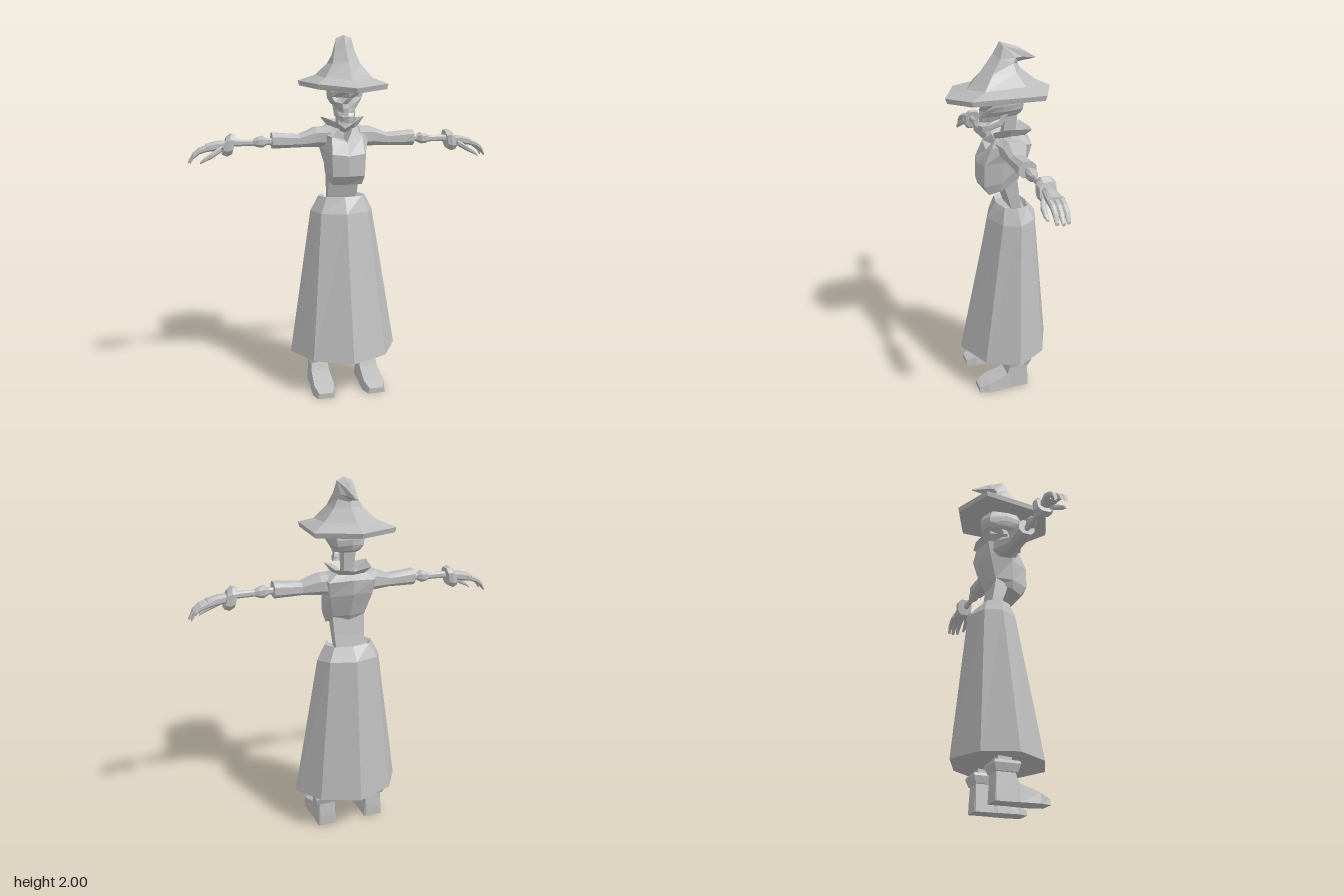
import * as THREE from 'three';

const grey = new THREE.MeshStandardMaterial({ color: 0xbdbdbd, flatShading: true });
grey.name = 'plain grey';

// Closed solid through rings of equal point count, wound outward by its signed volume
function loft(name, rings) {
  const tris = [];
  const n = rings[0].length;
  const centre = (r) => [0, 1, 2].map((k) => r.reduce((s, p) => s + p[k], 0) / n);
  const first = rings[0], last = rings[rings.length - 1];
  const c0 = centre(first), c1 = centre(last);
  for (let j = 0; j < n; j++) {
    const k = (j + 1) % n;
    for (let i = 0; i < rings.length - 1; i++) {
      const a = rings[i], b = rings[i + 1];
      tris.push([a[j], a[k], b[k]], [a[j], b[k], b[j]]);
    }
    tris.push([c0, first[k], first[j]], [c1, last[j], last[k]]);
  }
  const volume = tris.reduce((s, [a, b, c]) => s
    + a[0] * (b[1] * c[2] - b[2] * c[1])
    + a[1] * (b[2] * c[0] - b[0] * c[2])
    + a[2] * (b[0] * c[1] - b[1] * c[0]), 0);
  const flat = tris.flatMap(([a, b, c]) => (volume < 0 ? [a, c, b] : [a, b, c])).flat();
  const geo = new THREE.BufferGeometry();
  geo.setAttribute('position', new THREE.Float32BufferAttribute(flat, 3));
  geo.computeVertexNormals();
  const mesh = new THREE.Mesh(geo, grey);
  mesh.name = name;
  return mesh;
}

// Full ring from its left half, listed front to back; the ends lie on x = 0
const mirror = (half) => [...half, ...half.slice(1, -1).reverse().map(([x, y, z]) => [-x, y, z])];
const symmetric = (name, halves) => loft(name, halves.map(mirror));

// Ring of bevelled corners across a limb running along x; lean shifts the top along x
function section(s, x, y, z, hy, hz, lean = 0) {
  return [[-1, -0.5], [-0.5, -1], [0.5, -1], [1, -0.5], [1, 0.5], [0.5, 1], [-0.5, 1], [-1, 0.5]]
    .map(([u, v]) => [s * (x + lean * u), y + u * hy, z + v * hz]);
}
// Rectangular ring lying level
const level = (x0, x1, z0, z1, yBack, yFront = yBack) =>
  [[x0, yBack, z0], [x1, yBack, z0], [x1, yFront, z1], [x0, yFront, z1]];

function arm(s) {
  const g = new THREE.Group();
  g.name = s > 0 ? 'leftArm' : 'rightArm';
  const limb = (name, list) => g.add(loft(name, list.map((a) => section(s, ...a))));
  limb('sleeve', [[0.08, 1.455, -0.04, 0.055, 0.085], [0.16, 1.455, -0.035, 0.052, 0.065],
    [0.25, 1.437, -0.02, 0.034, 0.044], [0.4, 1.442, -0.018, 0.042, 0.046]]);
  limb('forearm', [[0.38, 1.435, -0.018, 0.018, 0.014], [0.425, 1.437, -0.018, 0.018, 0.014],
    [0.45, 1.437, -0.018, 0.031, 0.028], [0.475, 1.435, -0.018, 0.027, 0.026],
    [0.5, 1.433, -0.018, 0.017, 0.013], [0.64, 1.433, -0.018, 0.018, 0.016]]);
  limb('wristGuard', [[0.605, 1.425, -0.028, 0.05, 0.045, -0.01], [0.63, 1.422, -0.028, 0.06, 0.05, -0.012],
    [0.655, 1.418, -0.028, 0.045, 0.042, -0.012]]);
  limb('palm', [[0.63, 1.425, -0.025, 0.02, 0.024], [0.69, 1.42, -0.025, 0.025, 0.034],
    [0.75, 1.41, -0.028, 0.02, 0.042]]);
  // Fingers curling down
  [-0.057, -0.029, -0.001].forEach((z, i) => {
    const l = i === 1 ? 0.01 : 0;
    limb('finger', [[0.73, 1.413, z, 0.016, 0.014], [0.785, 1.395, z, 0.014, 0.014],
      [0.82, 1.368, z, 0.013, 0.013], [0.837 + l, 1.335, z, 0.007, 0.009]]);
  });
  limb('thumb', [[0.67, 1.405, 0, 0.016, 0.014], [0.72, 1.375, 0.022, 0.015, 0.014],
    [0.765, 1.35, 0.025, 0.01, 0.011], [0.785, 1.335, 0.022, 0.005, 0.006]]);
  return g;
}

function boot(s) {
  const g = new THREE.Group();
  g.name = s > 0 ? 'leftBoot' : 'rightBoot';
  const side = (ring) => ring.map(([x, y, z]) => [s * x, y, z]);
  g.add(loft('shin', [level(0.1, 0.19, -0.1, -0.025, 0.15), level(0.1, 0.19, -0.1, -0.025, 0.4)].map(side)));
  g.add(loft('bootCuff', [level(0.085, 0.205, -0.115, 0, 0.145),
    level(0.075, 0.217, -0.13, 0.012, 0.185), level(0.08, 0.215, -0.125, 0.008, 0.2)].map(side)));
  // Foot, lofted from heel to toe
  const slice = (z, x0, x1, top) => [[x0, 0, z], [x1, 0, z], [x1 - 0.008, top, z], [x0 + 0.008, top, z]];
  g.add(loft('foot', [slice(-0.118, 0.095, 0.195, 0.06), slice(-0.11, 0.09, 0.2, 0.155),
    slice(-0.012, 0.09, 0.2, 0.155), slice(0.01, 0.085, 0.205, 0.095), slice(0.12, 0.08, 0.212, 0.055),
    slice(0.178, 0.1, 0.195, 0.03)].map(side)));
  return g;
}

export function createModel() {
  const model = new THREE.Group();
  model.name = 'hattedSkeleton';

  model.add(symmetric('skirt', [
    [[0, 0.215, 0.24], [0.21, 0.215, 0.145], [0.31, 0.22, -0.03], [0.21, 0.23, -0.2], [0, 0.235, -0.29]],
    [[0, 1.03, 0.07], [0.135, 1.03, 0.02], [0.18, 1.035, -0.07], [0.135, 1.045, -0.16], [0, 1.05, -0.21]],
    [[0, 1.12, 0.02], [0.1, 1.12, 0], [0.135, 1.12, -0.065], [0.1, 1.12, -0.13], [0, 1.12, -0.15]],
    [[0, 1.1, 0.005], [0.085, 1.1, -0.01], [0.115, 1.1, -0.065], [0.085, 1.1, -0.12], [0, 1.1, -0.135]],
  ]));
  model.add(loft('waist', [level(-0.08, 0.08, -0.105, -0.05, 1.09), level(-0.085, 0.085, -0.09, -0.025, 1.17),
    level(-0.09, 0.09, -0.075, 0.01, 1.28)]));

  // Chest with an open neckline
  model.add(symmetric('chest', [
    [[0, 1.2, 0.085], [0.08, 1.2, 0.08], [0.1, 1.22, 0.02], [0.07, 1.25, -0.06], [0, 1.25, -0.08]],
    [[0, 1.25, 0.125], [0.09, 1.25, 0.11], [0.115, 1.27, 0.02], [0.09, 1.28, -0.08], [0, 1.28, -0.1]],
    [[0, 1.36, 0.125], [0.09, 1.37, 0.11], [0.125, 1.39, 0.01], [0.12, 1.4, -0.12], [0, 1.41, -0.155]],
    [[0, 1.43, 0.075], [0.085, 1.46, 0.07], [0.155, 1.49, -0.02], [0.13, 1.48, -0.14], [0, 1.49, -0.165]],
    [[0, 1.44, 0], [0.04, 1.5, 0.03], [0.08, 1.525, -0.04], [0.07, 1.525, -0.11], [0, 1.52, -0.13]],
  ]));
  model.add(symmetric('collar', [
    [[0, 1.48, 0.01], [0.05, 1.495, 0.01], [0.08, 1.505, -0.04], [0.065, 1.505, -0.11], [0, 1.505, -0.13]],
    [[0, 1.5, 0.03], [0.05, 1.535, 0.045], [0.12, 1.565, -0.02], [0.1, 1.55, -0.15], [0, 1.54, -0.172]],
    [[0, 1.485, 0], [0.035, 1.51, 0.005], [0.06, 1.52, -0.04], [0.05, 1.52, -0.1], [0, 1.52, -0.115]],
  ]));
  model.add(loft('neck', [level(-0.03, 0.03, -0.08, -0.01, 1.42), level(-0.028, 0.028, -0.085, -0.02, 1.54),
    level(-0.035, 0.035, -0.095, -0.02, 1.66)]));

  // Skull with sunken eyes and nose
  model.add(symmetric('skull', [
    [[0, 1.59, 0.112], [0.028, 1.59, 0.1], [0.042, 1.595, 0.06], [0.045, 1.61, 0], [0.04, 1.62, -0.08], [0, 1.625, -0.1]],
    [[0, 1.615, 0.108], [0.03, 1.615, 0.1], [0.05, 1.62, 0.07], [0.055, 1.625, 0], [0.055, 1.635, -0.1], [0, 1.64, -0.125]],
    [[0, 1.635, 0.075], [0.035, 1.64, 0.1], [0.07, 1.65, 0.07], [0.078, 1.65, 0], [0.07, 1.66, -0.11], [0, 1.67, -0.138]],
    [[0, 1.67, 0.105], [0.04, 1.67, 0.055], [0.084, 1.675, 0.065], [0.088, 1.68, 0], [0.075, 1.69, -0.11], [0, 1.7, -0.14]],
    [[0, 1.695, 0.115], [0.045, 1.7, 0.105], [0.088, 1.7, 0.065], [0.092, 1.71, 0], [0.075, 1.72, -0.1], [0, 1.725, -0.13]],
    [[0, 1.76, 0.1], [0.045, 1.76, 0.09], [0.08, 1.76, 0.05], [0.085, 1.76, 0], [0.065, 1.76, -0.09], [0, 1.76, -0.11]],
  ]));
  // Jaw: a front bar and two side bars
  model.add(symmetric('chin', [
    [[0, 1.535, 0.115], [0.03, 1.54, 0.1], [0.04, 1.545, 0.06], [0, 1.545, 0.06]],
    [[0, 1.57, 0.118], [0.032, 1.57, 0.105], [0.045, 1.575, 0.06], [0, 1.565, 0.065]],
  ]));
  for (const s of [1, -1]) {
    model.add(loft('jawSide', [section(s, 0.042, 1.562, 0.065, 0.014, 0.012),
      section(s, 0.056, 1.585, 0.01, 0.014, 0.012), section(s, 0.06, 1.64, -0.015, 0.012, 0.015)]));
  }

  // Wide brim, crown and bent tip in one run
  model.add(symmetric('hat', [
    [[0, 1.735, 0.1], [0.08, 1.735, 0.07], [0.09, 1.735, -0.07], [0, 1.735, -0.11]],
    [[0, 1.698, 0.28], [0.185, 1.718, 0.195], [0.215, 1.73, -0.18], [0, 1.73, -0.275]],
    [[0, 1.725, 0.29], [0.19, 1.745, 0.2], [0.222, 1.757, -0.185], [0, 1.757, -0.285]],
    [[0, 1.765, 0.175], [0.13, 1.775, 0.115], [0.14, 1.79, -0.1], [0, 1.795, -0.2]],
    [[0, 1.855, 0.1], [0.075, 1.85, 0.055], [0.08, 1.85, -0.07], [0, 1.86, -0.115]],
    [[0, 1.94, 0.035], [0.055, 1.92, 0.01], [0.055, 1.895, -0.06], [0, 1.885, -0.1]],
    [[0, 2, 0], [0.042, 1.983, -0.01], [0.045, 1.92, -0.075], [0, 1.893, -0.105]],
    [[0, 1.97, -0.1], [0.025, 1.955, -0.105], [0.025, 1.92, -0.12], [0, 1.897, -0.125]],
    [[0, 1.912, -0.2], [0.005, 1.91, -0.198], [0.005, 1.907, -0.195], [0, 1.905, -0.193]],
  ]));

  for (const s of [1, -1]) model.add(arm(s), boot(s));
  return model;
}
